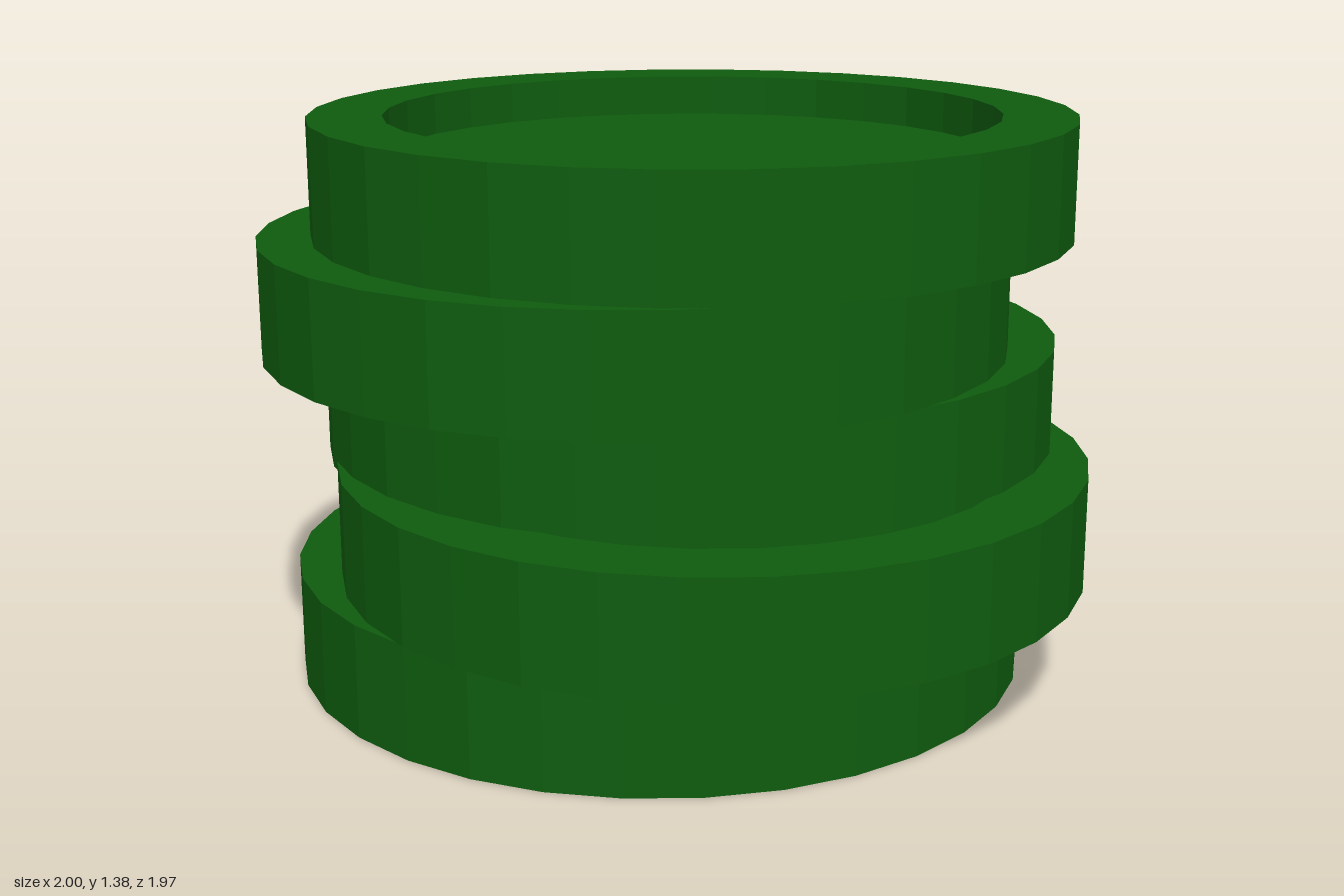
import * as THREE from 'three';

const RADIUS = 0.9;
const INNER = 0.725;
const HEIGHT = 0.275;
const RECESS = 0.1;

// Round disc with a shallow recess in both faces
function discGeometry() {
  const profile = [
    [0, RECESS], [INNER, RECESS], [INNER, 0], [RADIUS, 0],
    [RADIUS, HEIGHT], [INNER, HEIGHT], [INNER, HEIGHT - RECESS], [0, HEIGHT - RECESS],
  ].map(([r, y]) => new THREE.Vector2(r, y));
  return new THREE.LatheGeometry(profile, 32);
}

export function createModel() {
  const group = new THREE.Group();
  group.name = 'discStack';

  const green = new THREE.MeshStandardMaterial({ color: 0x0f5c0f, flatShading: true });
  green.name = 'dark green';

  // Loosely stacked discs, bottom to top: x, base y, z
  const geometry = discGeometry();
  const places = [
    [-0.1, 0, 0.013],
    [0.1, 0.284, 0.013],
    [-0.1, 0.537, -0.087],
    [-0.1, 0.811, 0.088],
    [0.025, 1.1, 0.013],
  ];
  places.forEach(([x, y, z], i) => {
    const disc = new THREE.Mesh(geometry, green);
    disc.name = `disc${i + 1}`;
    disc.position.set(x, y, z);
    group.add(disc);
  });

  return group;
}
